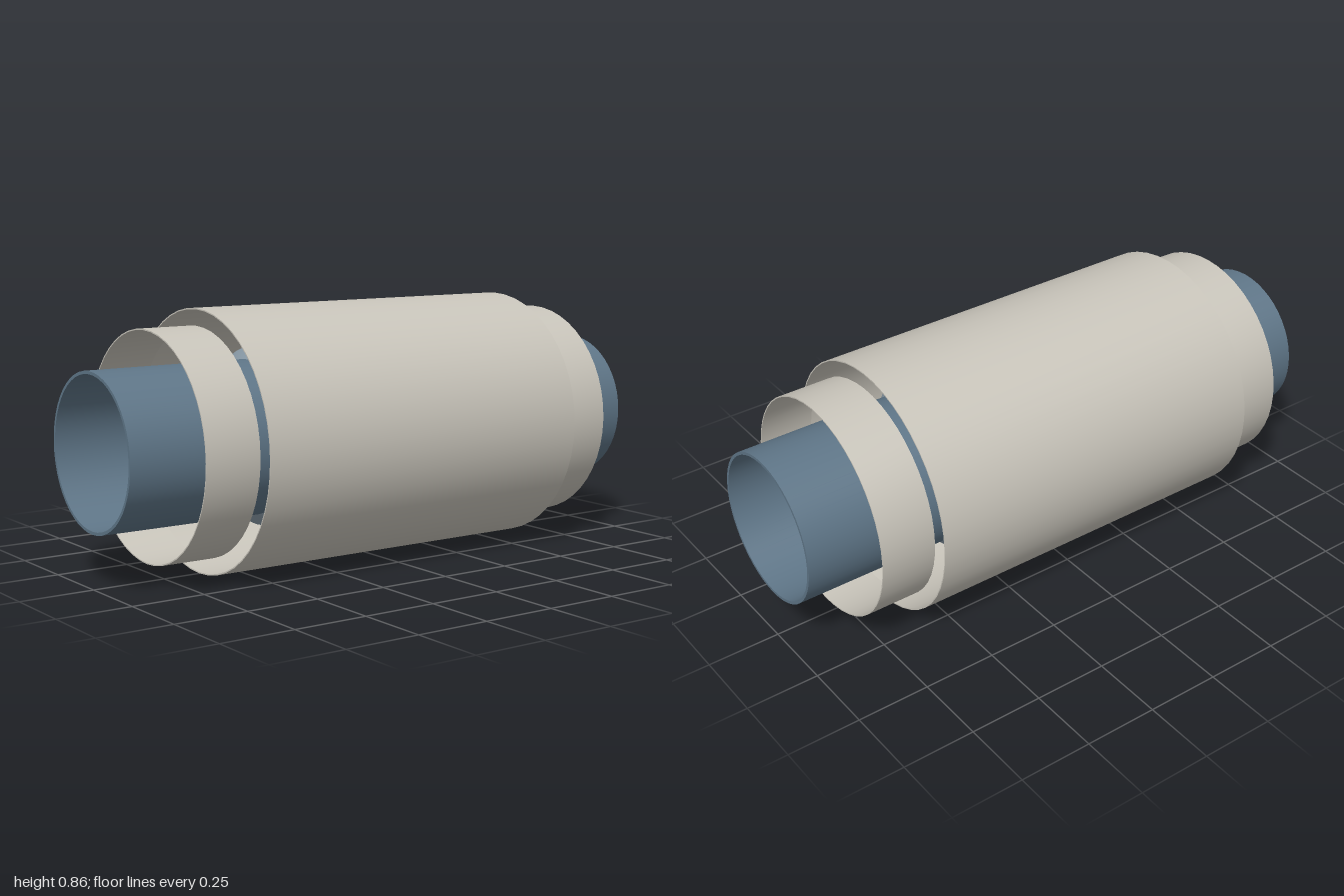
import * as THREE from 'three';
import { toCreasedNormals } from 'three/addons/utils/BufferGeometryUtils.js';

const SIDES = 48;
const AXIS_HEIGHT = 0.433;

// Revolves a closed [radius, x] section around the x axis
function revolve(name, section, material) {
  const points = [...section, section[0]].map(([r, x]) => new THREE.Vector2(r, x));
  const geometry = toCreasedNormals(new THREE.LatheGeometry(points, SIDES), 0.5);
  geometry.rotateZ(-Math.PI / 2);
  const mesh = new THREE.Mesh(geometry, material);
  mesh.name = name;
  return mesh;
}

// Hollow tube with real wall thickness
function tube(name, inner, outer, x0, x1, material) {
  return revolve(name, [[outer, x0], [outer, x1], [inner, x1], [inner, x0]], material);
}

export function createModel() {
  const group = new THREE.Group();
  group.name = 'sleevedPipe';
  group.position.y = AXIS_HEIGHT;

  const casing = new THREE.MeshStandardMaterial({ color: 0xc9c5bb, side: THREE.DoubleSide });
  const steel = new THREE.MeshStandardMaterial({ color: 0x5f7688, side: THREE.DoubleSide });
  const paleSteel = new THREE.MeshStandardMaterial({ color: 0x8a9ba8, side: THREE.DoubleSide });

  // Inner pipe, open from end to end
  group.add(tube('innerPipe', 0.245, 0.255, -1, 1, steel));

  // Collar around the middle of the pipe, with tapered ends
  group.add(revolve('collar', [
    [0.255, -0.43], [0.294, -0.4], [0.294, 0.4], [0.255, 0.43],
  ], paleSteel));

  // Outer shell
  group.add(tube('outerShell', 0.426, 0.43, -0.62, 0.62, casing));

  // Narrower ring beyond each end of the shell
  for (const side of [1, -1]) {
    const ring = tube(side > 0 ? 'leftEndRing' : 'rightEndRing', 0.37, 0.374, 0.62, 0.81, casing);
    if (side < 0) ring.rotation.y = Math.PI;
    group.add(ring);
  }

  const model = new THREE.Group();
  model.name = 'model';
  model.add(group);
  return model;
}
